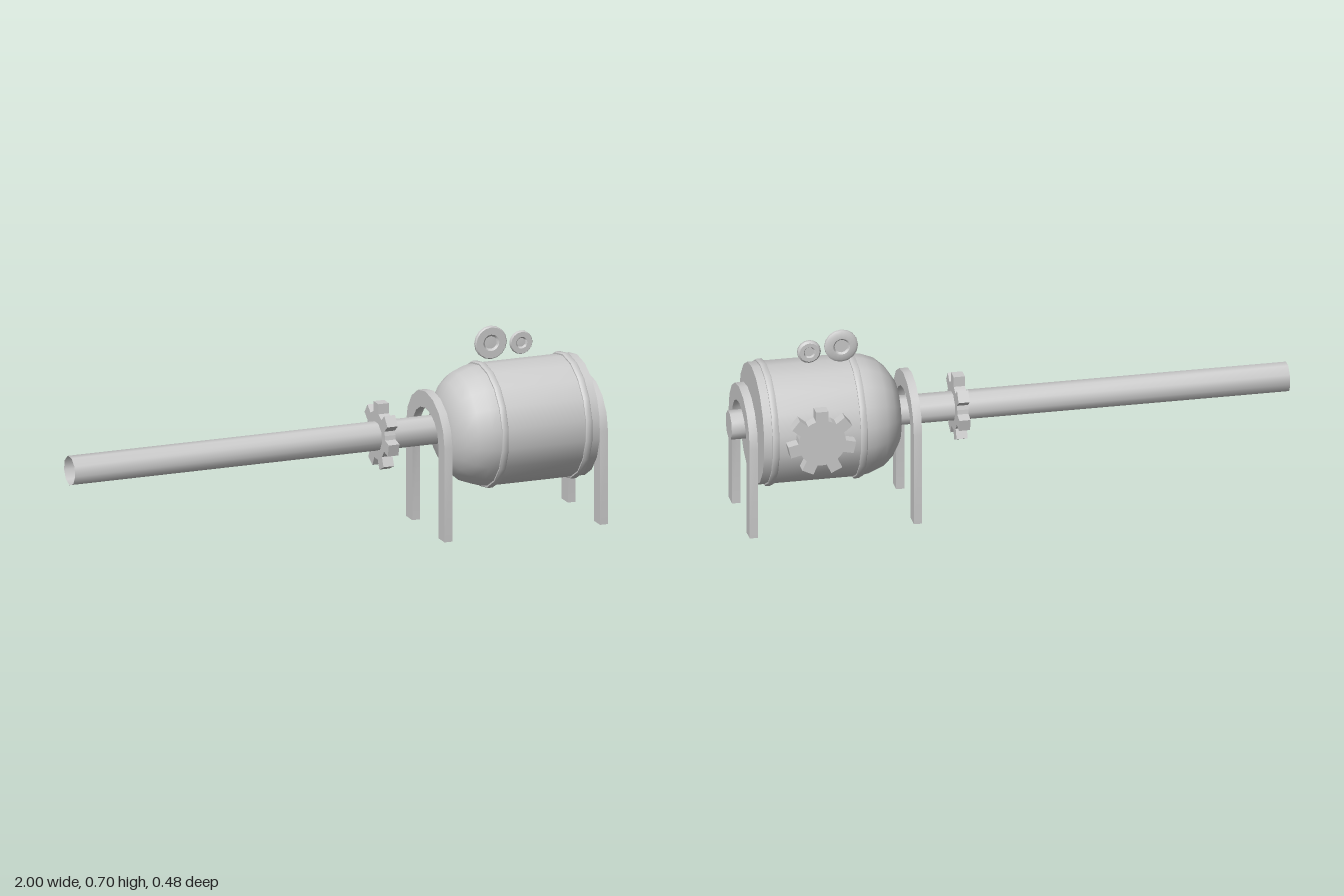
import * as THREE from 'three';
import { toCreasedNormals } from 'three/addons/utils/BufferGeometryUtils.js';

const AXIS_Y = 0.36, AXIS_Z = 0.02;
const material = new THREE.MeshStandardMaterial({ color: 0xcccccc, side: THREE.DoubleSide });

function part(name, geometry, x = 0, y = 0, z = 0) {
  const mesh = new THREE.Mesh(geometry, material);
  mesh.name = name;
  mesh.position.set(x, y, z);
  return mesh;
}

// Profile of [radius, height] pairs turned about its axis, with sharp rims kept
function turned(profile, sides) {
  const points = profile.map(([r, h]) => new THREE.Vector2(r, h));
  return new THREE.LatheGeometry(points, sides, Math.PI / 2);
}
const alongX = (profile, sides, crease = 0.75) =>
  toCreasedNormals(turned(profile, sides).rotateZ(-Math.PI / 2), crease);
const alongZ = (profile, sides) =>
  toCreasedNormals(turned(profile, sides).rotateX(Math.PI / 2), 0.7);

// Cog with straight block teeth, one of them pointing up
function cogGeometry(teeth, root, tip, halfWidth, depth) {
  const points = [];
  const rootAngle = Math.asin(halfWidth / root);
  const rootReach = root * Math.cos(rootAngle);
  for (let i = 0; i < teeth; i++) {
    const a = Math.PI / 2 + (i / teeth) * Math.PI * 2;
    for (const [r, w] of [[rootReach, -1], [tip, -1], [tip, 1], [rootReach, 1]]) {
      points.push(new THREE.Vector2(
        r * Math.cos(a) - w * halfWidth * Math.sin(a),
        r * Math.sin(a) + w * halfWidth * Math.cos(a)));
    }
    const mid = a + Math.PI / teeth;
    points.push(new THREE.Vector2(root * Math.cos(mid), root * Math.sin(mid)));
  }
  return new THREE.ExtrudeGeometry(new THREE.Shape(points), { depth, bevelEnabled: false });
}

// Arched stand: two straight legs joined by a rounded top
function standGeometry() {
  const shape = new THREE.Shape();
  shape.moveTo(0.18, 0);
  shape.lineTo(0.18, 0.34);
  shape.absellipse(0, 0.34, 0.18, 0.163, 0, Math.PI, false);
  shape.lineTo(-0.18, 0);
  shape.lineTo(-0.122, 0);
  shape.lineTo(-0.122, 0.34);
  shape.absellipse(0, 0.34, 0.122, 0.103, Math.PI, 0, true);
  shape.lineTo(0.122, 0);
  const geometry = new THREE.ExtrudeGeometry(shape, { depth: 0.03, bevelEnabled: false, curveSegments: 4 });
  return toCreasedNormals(geometry.rotateY(Math.PI / 2), 0.6);
}

// Small dished wheel; the rim is thicker than the hub
function wheelGeometry(r) {
  return alongZ([
    [0, -0.018], [r * 0.4, -0.018], [r * 0.5, -0.025], [r * 0.84, -0.025], [r, -0.018],
    [r, -0.009], [r * 0.94, -0.005], [r * 0.5, -0.005], [r * 0.38, -0.012], [0, -0.011],
  ], 16);
}

export function createModel() {
  const group = new THREE.Group();

  // Drum with a domed shoulder and flat end
  group.add(part('drum', alongX([
    [0, 0.405], [0.115, 0.405], [0.163, 0.435], [0.194, 0.47],
    [0.211, 0.515], [0.217, 0.55], [0.217, 0.918], [0, 0.918],
  ], 18), 0, AXIS_Y, AXIS_Z));

  // Raised bands around the drum
  for (const x of [0.548, 0.864]) {
    group.add(part('drumBand', alongX([
      [0.21, 0], [0.222, 0], [0.225, 0.004], [0.225, 0.02], [0.222, 0.024], [0.21, 0.024],
    ], 18), x, AXIS_Y, AXIS_Z));
  }

  // Long open pipe and short closed shaft end
  group.add(part('pipe', alongX([[0.053, -1], [0.053, 0.42]], 9), 0, AXIS_Y, AXIS_Z));
  group.add(part('shaftEnd', alongX([[0.053, 0.9], [0.053, 1], [0, 1]], 9), 0, AXIS_Y, AXIS_Z));

  // Arched stands before and behind the drum
  for (const x of [0.345, 0.933]) group.add(part('stand', standGeometry(), x, 0, AXIS_Z));

  // Cog around the pipe and cog on the drum's back
  const pipeCog = cogGeometry(7, 0.085, 0.119, 0.022, 0.04).rotateY(Math.PI / 2);
  group.add(part('pipeCog', pipeCog, 0.16, 0.362, 0.016));
  group.add(part('drumCog', cogGeometry(7, 0.085, 0.12, 0.022, 0.042), 0.72, 0.381, -0.242));

  // Two small wheels on top of the drum
  group.add(part('largeWheel', wheelGeometry(0.06), 0.605, 0.645, 0));
  group.add(part('smallWheel', wheelGeometry(0.042), 0.72, 0.633, 0));

  return group;
}
